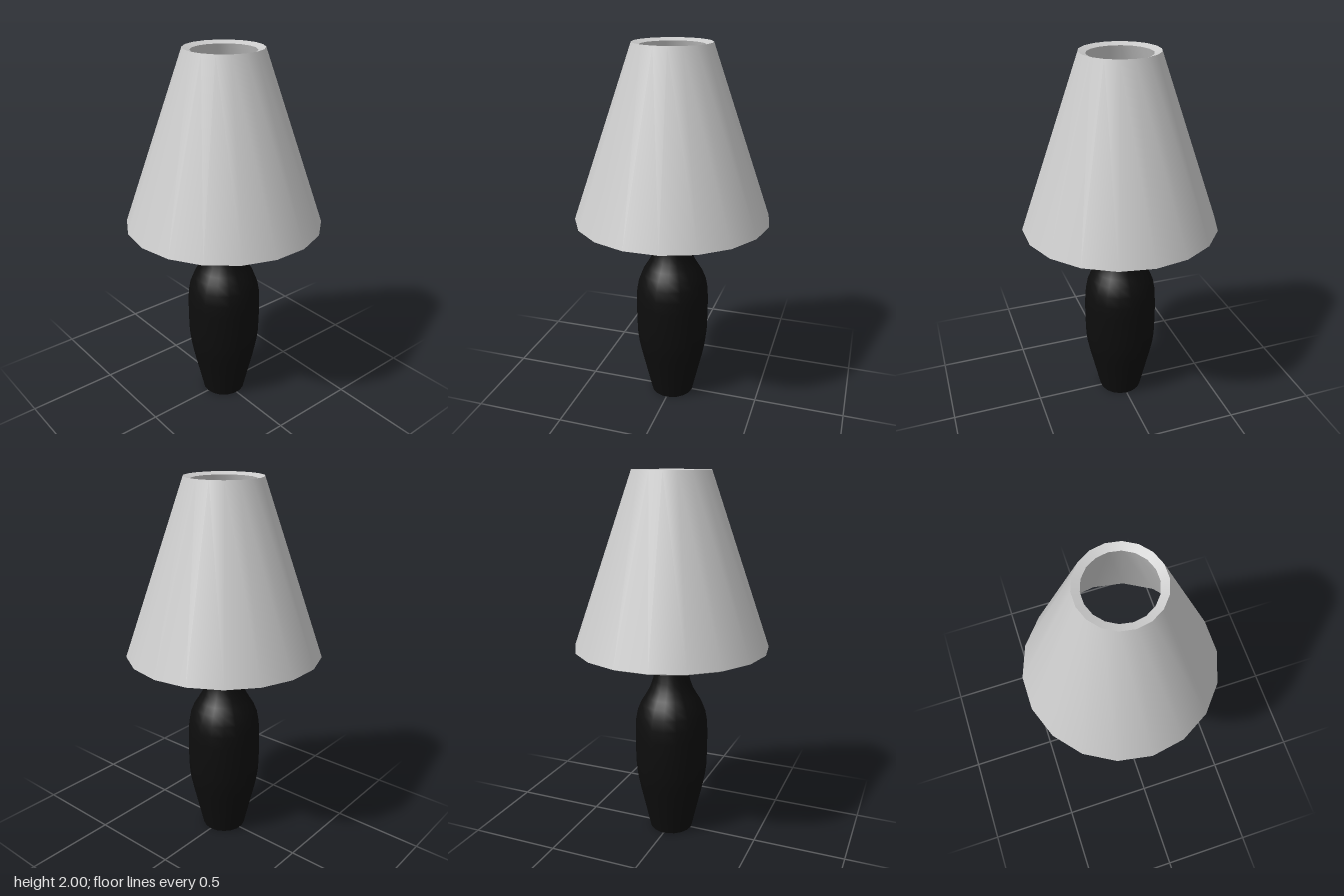
import * as THREE from 'three';

const SIDES = 18;
const grey = new THREE.MeshStandardMaterial({ color: 0xcccccc });
const black = new THREE.MeshStandardMaterial({ color: 0x0d0d0d });

// Revolved part: each profile run is smooth, with a sharp edge between runs
function turned(name, runs, material) {
  const part = new THREE.Group();
  part.name = name;
  for (const run of runs) {
    const points = run.map(([r, y]) => new THREE.Vector2(r, y));
    const mesh = new THREE.Mesh(new THREE.LatheGeometry(points, SIDES, Math.PI / SIDES), material);
    mesh.name = name + 'Surface';
    part.add(mesh);
  }
  return part;
}

// Closed hollow ring: one run for each side of its cross-section
function hollow(name, corners, material) {
  const runs = corners.map((c, i) => [c, corners[(i + 1) % corners.length]]);
  return turned(name, runs, material);
}

// Flat bar lying between two points of the yz plane
function bar(name, [z0, y0], [z1, y1], width, thickness) {
  const length = Math.hypot(z1 - z0, y1 - y0);
  const mesh = new THREE.Mesh(new THREE.BoxGeometry(width, thickness, length), grey);
  mesh.position.set(0, (y0 + y1) / 2, (z0 + z1) / 2);
  mesh.rotation.x = -Math.atan2(y1 - y0, z1 - z0);
  mesh.name = name;
  return mesh;
}

export function createModel() {
  const lamp = new THREE.Group();
  lamp.name = 'tableLamp';

  // Bottle-shaped base with flat foot and top
  lamp.add(turned('base', [
    [[0, 0], [0.12, 0]],
    [[0.12, 0], [0.15, 0.13], [0.178, 0.25], [0.192, 0.32], [0.199, 0.38], [0.202, 0.48],
      [0.202, 0.58], [0.199, 0.65], [0.188, 0.71], [0.168, 0.76], [0.143, 0.8],
      [0.12, 0.84], [0.102, 0.89], [0.09, 0.95], [0.083, 1]],
    [[0.083, 1], [0, 1]],
  ], black));

  // Thin socket sleeve and the bulb inside it
  lamp.add(hollow('socket', [[0.091, 1], [0.091, 1.19], [0.083, 1.19], [0.083, 1]], grey));
  lamp.add(turned('bulb', [
    [[0.08, 1], [0.08, 1.19], [0.076, 1.23], [0.06, 1.265], [0.035, 1.288], [0, 1.295]],
  ], black));

  // Conical shade with wall thickness and square-cut rims
  lamp.add(hollow('shade', [[0.525, 1.08], [0.205, 2], [0.167, 1.987], [0.49, 1.066]], grey));

  // Support arms rising to the shade, with straps down the socket
  for (const side of [1, -1]) {
    const support = new THREE.Group();
    support.name = side > 0 ? 'frontSupport' : 'backSupport';
    support.add(bar('arm', [0.052, 1.245], [0.395, 1.375], 0.125, 0.035));
    support.add(bar('strap', [0.105, 1.07], [0.125, 1.265], 0.125, 0.025));
    support.rotation.y = side > 0 ? 0 : Math.PI;
    lamp.add(support);
  }
  return lamp;
}
